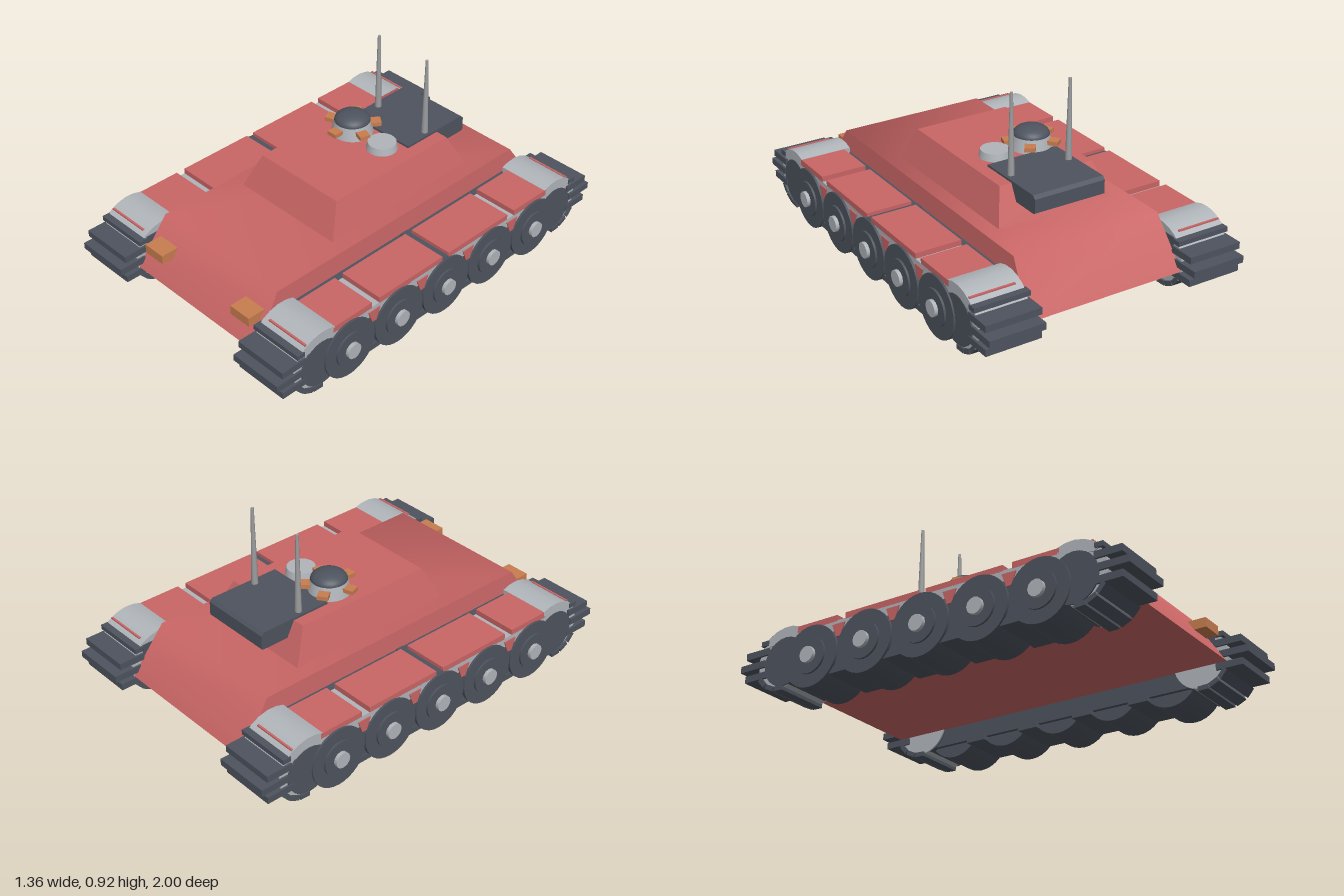
import * as THREE from 'three';
import { toCreasedNormals } from 'three/addons/utils/BufferGeometryUtils.js';

const mat = (name, color) => new THREE.MeshStandardMaterial({ name, color });

export function createModel() {
  const red = mat('red armour', 0xc96565);
  const dark = mat('dark steel', 0x4d535e);
  const light = mat('light steel', 0xb0b5ba);
  const grey = mat('antenna grey', 0x9b9d9f);
  const orange = mat('orange lamp', 0xc87d50);
  const model = new THREE.Group();

  const add = (parent, name, geo, m, x = 0, y = 0, z = 0) => {
    const mesh = new THREE.Mesh(geo, m);
    mesh.name = name;
    mesh.position.set(x, y, z);
    parent.add(mesh);
    return mesh;
  };
  // Box given by its limits
  const block = (parent, name, m, x0, x1, y0, y1, z0, z1) =>
    add(parent, name, new THREE.BoxGeometry(x1 - x0, y1 - y0, z1 - z0), m,
      (x0 + x1) / 2, (y0 + y1) / 2, (z0 + z1) / 2);
  // Box whose upper corners are moved inwards
  const frustum = (y0, y1, low, high) => {
    const g = new THREE.BoxGeometry(1, 1, 1);
    const p = g.attributes.position;
    for (let i = 0; i < p.count; i++) {
      const top = p.getY(i) > 0, [hx, back, front] = top ? high : low;
      p.setXYZ(i, Math.sign(p.getX(i)) * hx, top ? y1 : y0, p.getZ(i) > 0 ? front : back);
    }
    g.computeVertexNormals();
    return g;
  };
  // Side profile of (z, y) points extruded across x
  const sideExtrude = (points, x0, x1) => {
    const shape = new THREE.Shape(points.map(p => new THREE.Vector2(...p)));
    const g = new THREE.ExtrudeGeometry(shape, { depth: x1 - x0, bevelEnabled: false });
    g.rotateY(-Math.PI / 2).translate(x1, 0, 0);
    return toCreasedNormals(g, 0.6);
  };
  // Cylinder lying along x
  const axle = (r0, r1, w, n = 24) => new THREE.CylinderGeometry(r0, r1, w, n).rotateZ(-Math.PI / 2);

  // Hull and superstructure
  add(model, 'hull', toCreasedNormals(frustum(0.14, 0.37, [0.395, -0.895, 0.89], [0.37, -0.74, 0.74]), 1.1), red);
  add(model, 'superstructure', frustum(0.37, 0.525, [0.295, -0.51, 0.345], [0.24, -0.43, 0.27]), red);

  // Rear stowage box
  add(model, 'rearBox', sideExtrude([[-0.24, 0.45], [-0.24, 0.535], [-0.595, 0.535],
    [-0.61, 0.52], [-0.61, 0.455], [-0.6, 0.45]], -0.18, 0.18), dark);

  // Headlights and antennas
  for (const s of [-1, 1]) {
    add(model, 'headlight', new THREE.BoxGeometry(0.117, 0.045, 0.09), orange, s * 0.286, 0.268, 0.835);
    add(model, 'antenna', new THREE.CylinderGeometry(0.007, 0.016, 0.39, 10), grey, s * 0.15, 0.725, -0.38);
  }

  // Commander cupola with vision blocks
  const cupola = new THREE.Group();
  cupola.name = 'cupola';
  cupola.position.set(-0.1, 0.525, -0.16);
  model.add(cupola);
  add(cupola, 'cupolaRing', new THREE.CylinderGeometry(0.084, 0.098, 0.062, 32), light, 0, 0.031, 0);
  add(cupola, 'cupolaDome', new THREE.SphereGeometry(0.084, 32, 10, 0, Math.PI * 2, 0, Math.PI / 2)
    .scale(1, 0.5, 1), dark, 0, 0.062, 0);
  for (let i = 0; i < 5; i++) {
    const a = i * Math.PI * 2 / 5;
    const b = add(cupola, 'visionBlock', new THREE.BoxGeometry(0.05, 0.02, 0.05), orange,
      Math.sin(a) * 0.108, 0.038, Math.cos(a) * 0.108);
    b.rotation.y = a;
  }
  add(model, 'hatch', new THREE.CylinderGeometry(0.066, 0.073, 0.035, 32), light, 0.092, 0.542, -0.16);

  // Running gear, built on each side
  for (const s of [-1, 1]) {
    const gear = new THREE.Group();
    gear.name = s > 0 ? 'leftTrack' : 'rightTrack';
    model.add(gear);
    // x limits written for the +x side and mirrored here
    const side = (name, m, x0, x1, ...rest) =>
      block(gear, name, m, Math.min(s * x0, s * x1), Math.max(s * x0, s * x1), ...rest);
    const profile = (name, m, pts, x0, x1) =>
      add(gear, name, sideExtrude(pts, Math.min(s * x0, s * x1), Math.max(s * x0, s * x1)), m);

    side('trackCore', dark, 0.4, 0.64, 0.06, 0.24, -0.76, 0.76);
    side('innerRail', dark, 0.385, 0.42, 0.22, 0.285, -0.84, 0.84);
    side('fenderSupport', light, 0.4, 0.645, 0.235, 0.284, -0.8, 0.8);

    // Road wheels
    for (let i = -2; i <= 2; i++) {
      const z = i * 0.295;
      add(gear, 'wheel', axle(0.145, 0.145, 0.235, 32), dark, s * 0.5375, 0.145, z);
      add(gear, 'wheelDisc', axle(0.085, 0.085, 0.02), dark, s * 0.655, 0.145, z);
      add(gear, 'wheelHub', axle(0.038, 0.038, 0.03, 12), light, s * 0.667, 0.145, z);
    }
    // Bottom links and red gussets between wheels
    for (const k of [-1.5, -0.5, 0.5, 1.5]) {
      const z = k * 0.295;
      side('bottomLink', dark, 0.385, 0.645, 0.04, 0.07, z - 0.05, z + 0.05);
      profile('gusset', red, [[z - 0.035, 0.265], [z - 0.012, 0.205], [z + 0.012, 0.205], [z + 0.035, 0.265]], 0.6, 0.65);
    }
    // Fender panels with gaps between them
    for (const [a, b] of [[-0.68, -0.455], [-0.41, -0.02], [0.02, 0.41], [0.455, 0.68]])
      side('fenderPanel', red, 0.42, 0.645, 0.28, 0.31, a, b);
    side('fenderSeam', dark, 0.39, 0.645, 0.28, 0.293, -0.02, 0.02);

    // Track ends: belt drum, sprocket, curved cap and links
    for (const f of [-1, 1]) {
      add(gear, 'beltEnd', axle(0.135, 0.135, 0.25, 32), light, s * 0.515, 0.175, f * 0.765);
      add(gear, 'sprocket', axle(0.115, 0.115, 0.25), dark, s * 0.522, 0.16, f * 0.745);
      const cap = [[0.67, 0.27], [0.67, 0.311], [0.71, 0.323], [0.755, 0.325], [0.8, 0.315], [0.84, 0.295], [0.87, 0.265], [0.84, 0.25]];
      profile('endCap', light, cap.map(([z, y]) => [f * z, y]), 0.39, 0.645);
      side('capStripe', red, 0.42, 0.64, 0.299, 0.306, f > 0 ? 0.825 : -0.835, f > 0 ? 0.835 : -0.825);
      // Links reaching out of the end: height, inner and outer z
      for (const [y, a, b] of [[0.23, 0.84, 0.97], [0.175, 0.86, 1.0], [0.12, 0.84, 0.97]])
        side('trackLink', dark, 0.38, 0.65, y - 0.016, y + 0.016, Math.min(f * a, f * b), Math.max(f * a, f * b));
      // Lower links turned along the curve
      for (const a of [0.35, 0.75, 1.15]) {
        const link = add(gear, 'lowerLink', new THREE.BoxGeometry(0.27, 0.022, 0.05), dark,
          s * 0.515, 0.175 - Math.cos(a - 0.3) * 0.137, f * (0.765 + Math.sin(a - 0.3) * 0.137));
        link.rotation.x = -f * (a - 0.3);
      }
      side('topLink', dark, 0.38, 0.65, 0.26, 0.283, f > 0 ? 0.845 : -0.885, f > 0 ? 0.885 : -0.845);
    }
  }
  return model;
}
